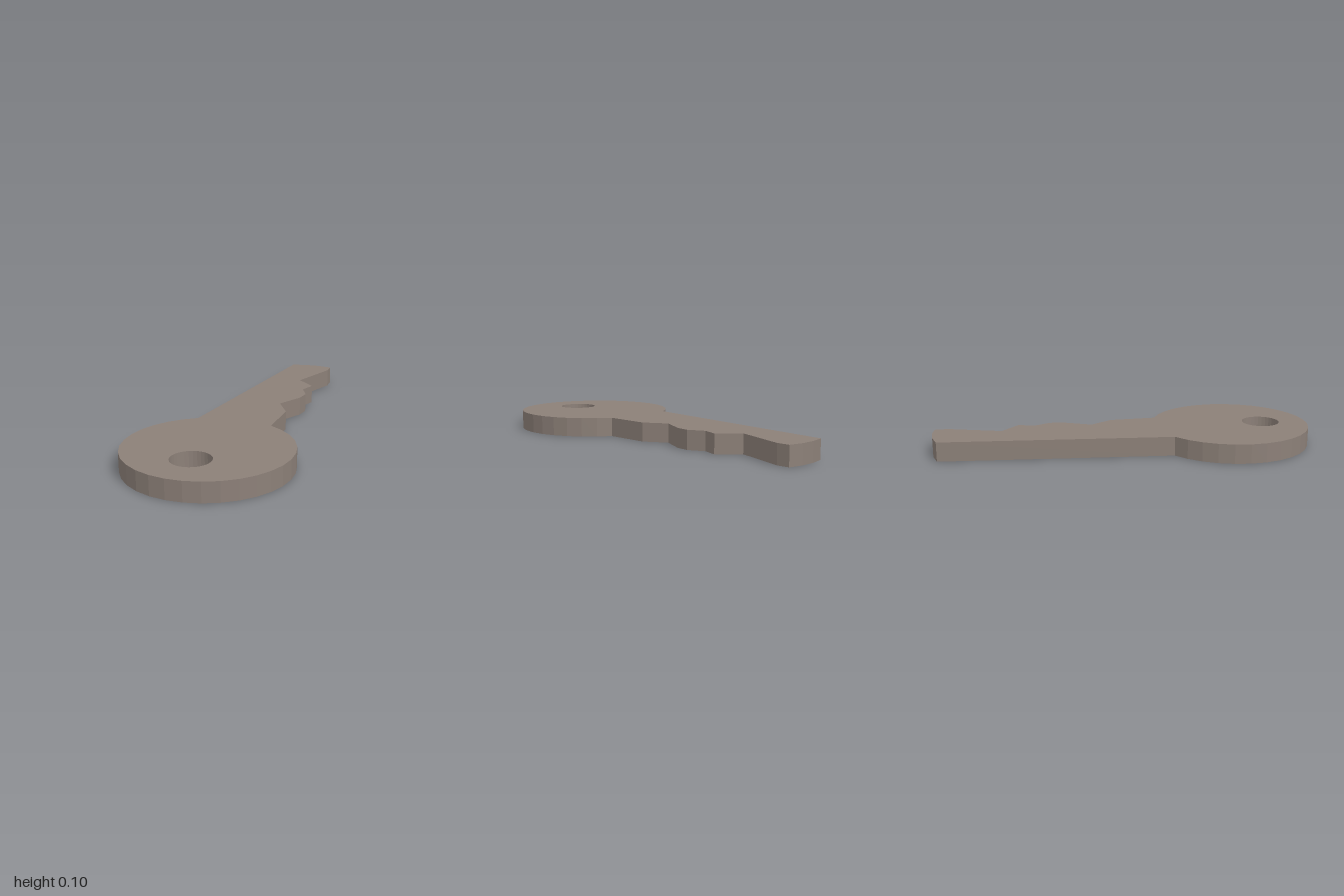
import * as THREE from 'three';

const THICKNESS = 0.1;
const STEP = Math.PI / 16; // bow and hole are 32-sided

// Points on a 32-sided circle, from side index `first` through `count` sides
function arc(cx, cy, r, first, count) {
  return Array.from({ length: count + 1 }, (_, i) => {
    const a = (first + i) * STEP;
    return new THREE.Vector2(cx + r * Math.cos(a), cy + r * Math.sin(a));
  });
}

export function createModel() {
  const group = new THREE.Group();
  group.name = 'key';

  // Round bow, left open where the blade joins it
  const bow = arc(0, -0.581, 0.419, 11, 27);

  // Toothed edge, rounded tip and straight back of the blade
  const blade = [
    [0.145, 0.05], [0.065, 0.165], [0.128, 0.31], [0.134, 0.385],
    [0.088, 0.468], [0.112, 0.555], [0.005, 0.642], [0.085, 0.925],
    [0.08, 0.992], [0, 1], [-0.08, 0.992], [-0.162, 0.968],
  ].map(([x, y]) => new THREE.Vector2(x, y));

  const outline = new THREE.Shape([...bow, ...blade]);

  // Hole for the key ring
  outline.holes.push(new THREE.Path(arc(0, -0.755, 0.1, 0, 32).reverse()));

  // Extrude, then lay flat with the tip pointing to the back
  const geometry = new THREE.ExtrudeGeometry(outline, { depth: THICKNESS, bevelEnabled: false });
  geometry.rotateX(-Math.PI / 2);

  const material = new THREE.MeshStandardMaterial({ color: 0x8c8078, flatShading: true });
  const body = new THREE.Mesh(geometry, material);
  body.name = 'keyBody';
  group.add(body);
  return group;
}
